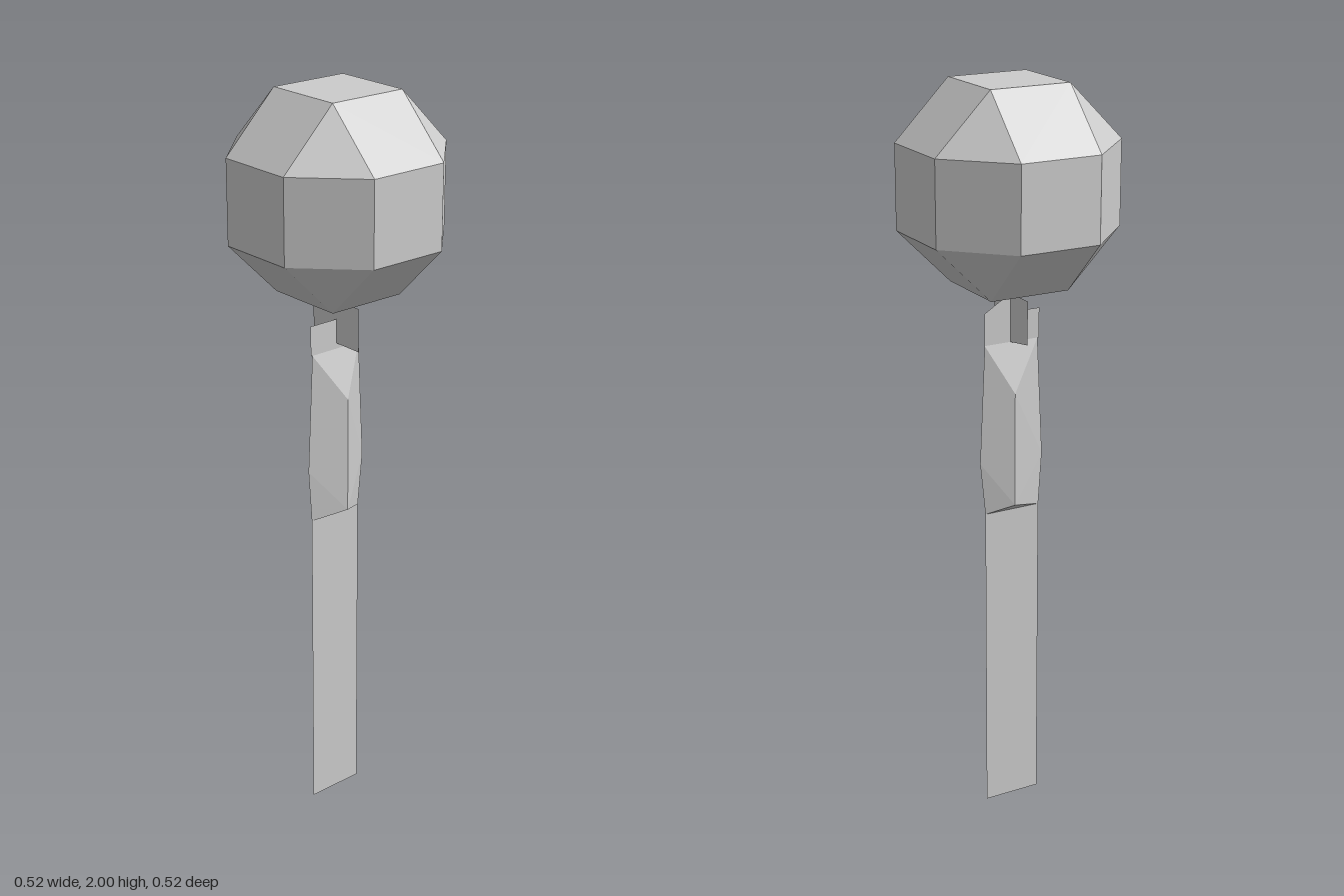
import * as THREE from 'three';
import { ConvexGeometry } from 'three/addons/geometries/ConvexGeometry.js';

const solid = new THREE.MeshStandardMaterial({ color: 0xcccccc, flatShading: true });
const sheet = new THREE.MeshStandardMaterial({ color: 0xcccccc, flatShading: true, side: THREE.DoubleSide });

function hull(name, points) {
  const mesh = new THREE.Mesh(new ConvexGeometry(points.map((p) => new THREE.Vector3(...p))), solid);
  mesh.name = name;
  return mesh;
}

// Flat outline in the XY plane
function panel(name, points) {
  const shape = new THREE.Shape(points.map((p) => new THREE.Vector2(...p)));
  const mesh = new THREE.Mesh(new THREE.ShapeGeometry(shape), sheet);
  mesh.name = name;
  return mesh;
}

export function createModel() {
  const group = new THREE.Group();

  // Faceted ball: 24 corners, one coordinate far out and two close in
  const far = 0.26, near = 0.11, corners = [];
  for (const a of [-1, 1]) for (const b of [-1, 1]) for (const c of [-1, 1]) {
    corners.push([a * far, b * near, c * near], [a * near, b * far, c * near], [a * near, b * near, c * far]);
  }
  const head = hull('head', corners);
  head.position.y = 1.74;
  group.add(head);

  // Swollen grip: edges at top and bottom, a ridge on each side
  group.add(hull('grip', [
    [0, 1.33, 0.085], [0, 1.33, -0.07],
    [0, 1.01, 0.1], [0, 1.01, -0.085],
    [0, 0.865, 0.09], [0, 0.865, -0.07],
    [0.04, 1.2, 0], [0.04, 0.885, 0],
    [-0.035, 1.2, 0], [-0.035, 0.89, 0],
  ]));

  // Thin upright strips lying in the YZ plane (outline x becomes +z)
  const strips = [
    panel('lowerStrip', [[-0.07, 0], [0.09, 0], [0.09, 0.87], [-0.07, 0.87]]),
    panel('upperStripFront', [[0.005, 1.33], [0.09, 1.33], [0.09, 1.41], [0.005, 1.41]]),
    panel('upperStripBack', [[-0.07, 1.33], [0.005, 1.33], [0.005, 1.46], [-0.07, 1.415]]),
  ];
  for (const s of strips) {
    s.rotation.y = -Math.PI / 2;
    group.add(s);
  }

  // Cross tabs on either side below the head
  const tabs = [
    panel('rightTab', [[-0.09, 1.345], [0, 1.33], [0, 1.46], [-0.09, 1.46]]),
    panel('leftTab', [[0, 1.345], [0.085, 1.345], [0.085, 1.46], [0, 1.46]]),
  ];
  for (const t of tabs) {
    t.position.z = 0.005;
    group.add(t);
  }
  return group;
}
